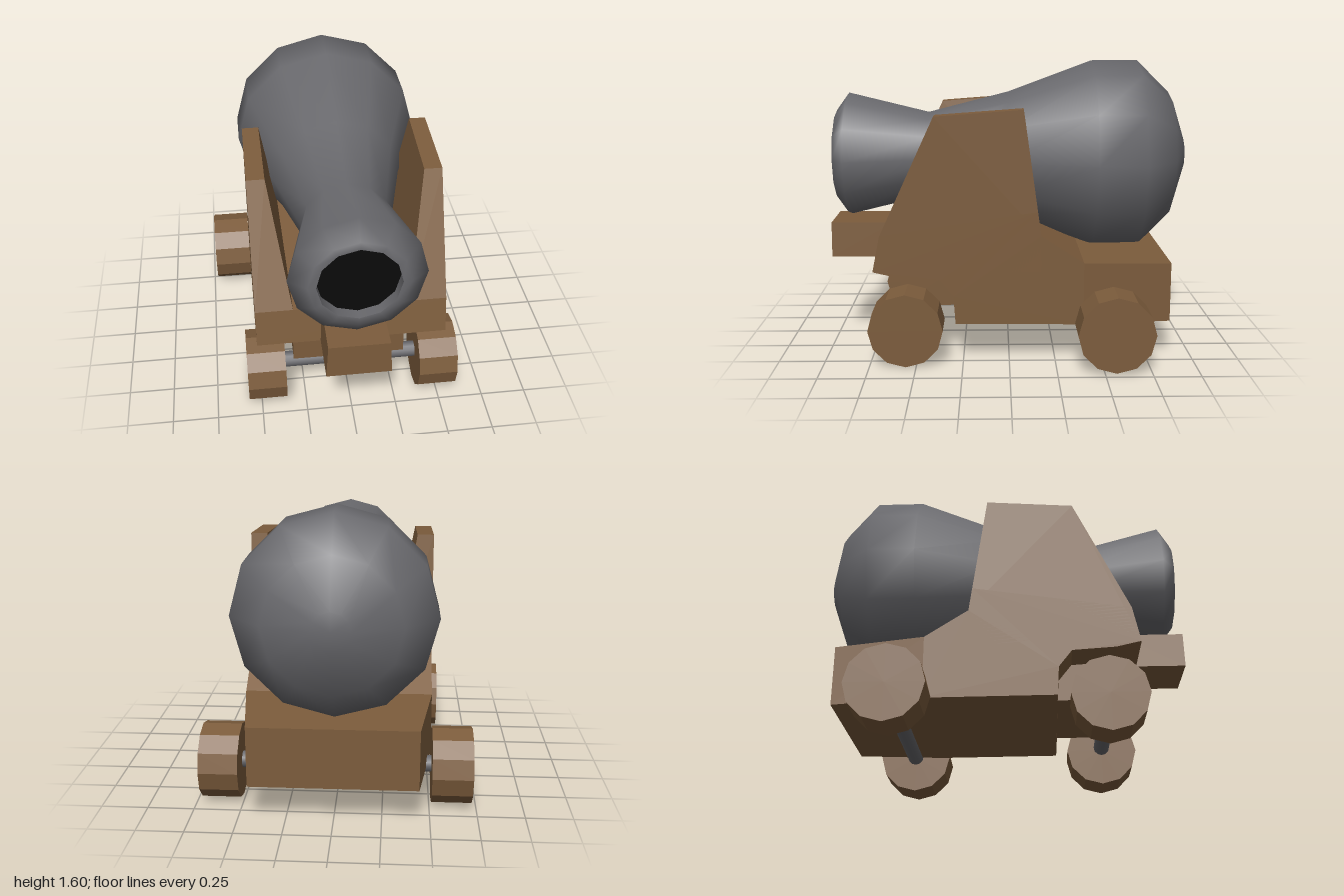
import * as THREE from 'three';

const wood = new THREE.MeshStandardMaterial({ color: 0x7c5c3c, flatShading: true });
const iron = new THREE.MeshStandardMaterial({ color: 0x69696d });
const dark = new THREE.MeshStandardMaterial({ color: 0x0a0a0a });

// Solid from a side outline of [z, y] points, spanning x0..x1
function slab(points, x0, x1) {
  const shape = new THREE.Shape(points.map(([z, y]) => new THREE.Vector2(z, y)));
  const geo = new THREE.ExtrudeGeometry(shape, { depth: x1 - x0, bevelEnabled: false });
  return geo.rotateY(-Math.PI / 2).translate(x1, 0, 0);
}

// Change every vertex x by a rule
function reshapeX(geo, rule) {
  const p = geo.attributes.position;
  for (let i = 0; i < p.count; i++) p.setX(i, rule(p.getX(i), p.getY(i), p.getZ(i)));
  geo.computeVertexNormals();
  return geo;
}

// Twelve-sided surface turned around the z axis from [radius, z] points
function turned(points) {
  const profile = points.map(([r, z]) => new THREE.Vector2(r, z));
  return new THREE.LatheGeometry(profile, 12).rotateX(Math.PI / 2);
}

// Cylinder lying along x from x0 to x1
function rod(radius, x0, x1) {
  return new THREE.CylinderGeometry(radius, radius, x1 - x0, 12)
    .rotateZ(Math.PI / 2).translate((x0 + x1) / 2, 0, 0);
}

export function createModel() {
  const model = new THREE.Group();
  model.name = 'cannon';
  const add = (name, geo, material, y = 0, z = 0) => {
    const mesh = new THREE.Mesh(geo, material);
    mesh.name = name;
    mesh.position.set(0, y, z);
    model.add(mesh);
  };

  // Barrel with bulging breech, narrow neck and flared muzzle
  const axis = 1.07;
  add('barrel', turned([
    [0, -1], [0.1, -1], [0.355, -0.91], [0.53, -0.73], [0.53, -0.47],
    [0.355, 0], [0.24, 0.45], [0.35, 0.9], [0.255, 0.97], [0.213, 0.97],
  ]), iron, axis);
  add('boreWall', turned([[0.213, 0.97], [0.213, 0.91]]), iron, axis);
  add('bore', turned([[0.213, 0.91], [0, 0.91]]), dark, axis);

  // Carriage bed with a sloping floor and an overhanging front
  add('carriageBed', slab([
    [0.73, 0.505], [0.69, 0.7], [-0.15, 0.83], [-0.17, 0.7], [-0.4, 0.55],
    [-0.4, 0.21], [0.29, 0.215], [0.3, 0.37], [0.37, 0.46], [0.6, 0.475],
  ], -0.51, 0.51), wood);

  // Tail of the bed, narrowing to the rear
  add('carriageTail', reshapeX(
    slab([[-0.4, 0.55], [-0.88, 0.53], [-0.88, 0.205], [-0.4, 0.21]], -0.51, 0.51),
    (x, y, z) => (z < -0.8 ? x * 0.865 : x)), wood);

  // Block carrying the front axle, and the tongue above it
  add('axleBlock', slab([[0.6, 0.26], [0.6, 0.48], [0.28, 0.48], [0.28, 0.26]], -0.31, 0.31), wood);
  add('tongue', reshapeX(
    slab([[1, 0.505], [1, 0.7], [0.65, 0.7], [0.65, 0.505]], -0.17, 0.17),
    (x, y) => (y > 0.6 ? x * 0.94 : x)), wood);

  // Side cheeks, thinner towards the top on their inner faces
  const cheek = [[0.73, 0.505], [0.69, 0.7], [0.395, 1.335], [-0.075, 1.37], [-0.17, 0.7], [-0.17, 0.505]];
  for (const s of [1, -1]) {
    const geo = slab(cheek, s > 0 ? 0.3 : -0.51, s > 0 ? 0.51 : -0.3);
    add(s > 0 ? 'leftCheek' : 'rightCheek', reshapeX(geo,
      (x, y) => (Math.abs(x) < 0.4 ? s * (0.31 + 0.164 * (y - 0.7)) : x)), wood);
  }

  // Axles and wheels: front pair set closer together than the rear pair
  add('frontAxle', rod(0.045, -0.4, 0.42), iron, 0.22, 0.555);
  add('rearAxle', rod(0.045, -0.55, 0.55), iron, 0.215, -0.56);
  add('frontLeftWheel', rod(0.2, 0.38, 0.595), wood, 0.203, 0.555);
  add('frontRightWheel', rod(0.2, -0.57, -0.36), wood, 0.203, 0.555);
  add('rearLeftWheel', rod(0.205, 0.51, 0.72), wood, 0.215, -0.56);
  add('rearRightWheel', rod(0.205, -0.725, -0.51), wood, 0.215, -0.56);

  return model;
}
